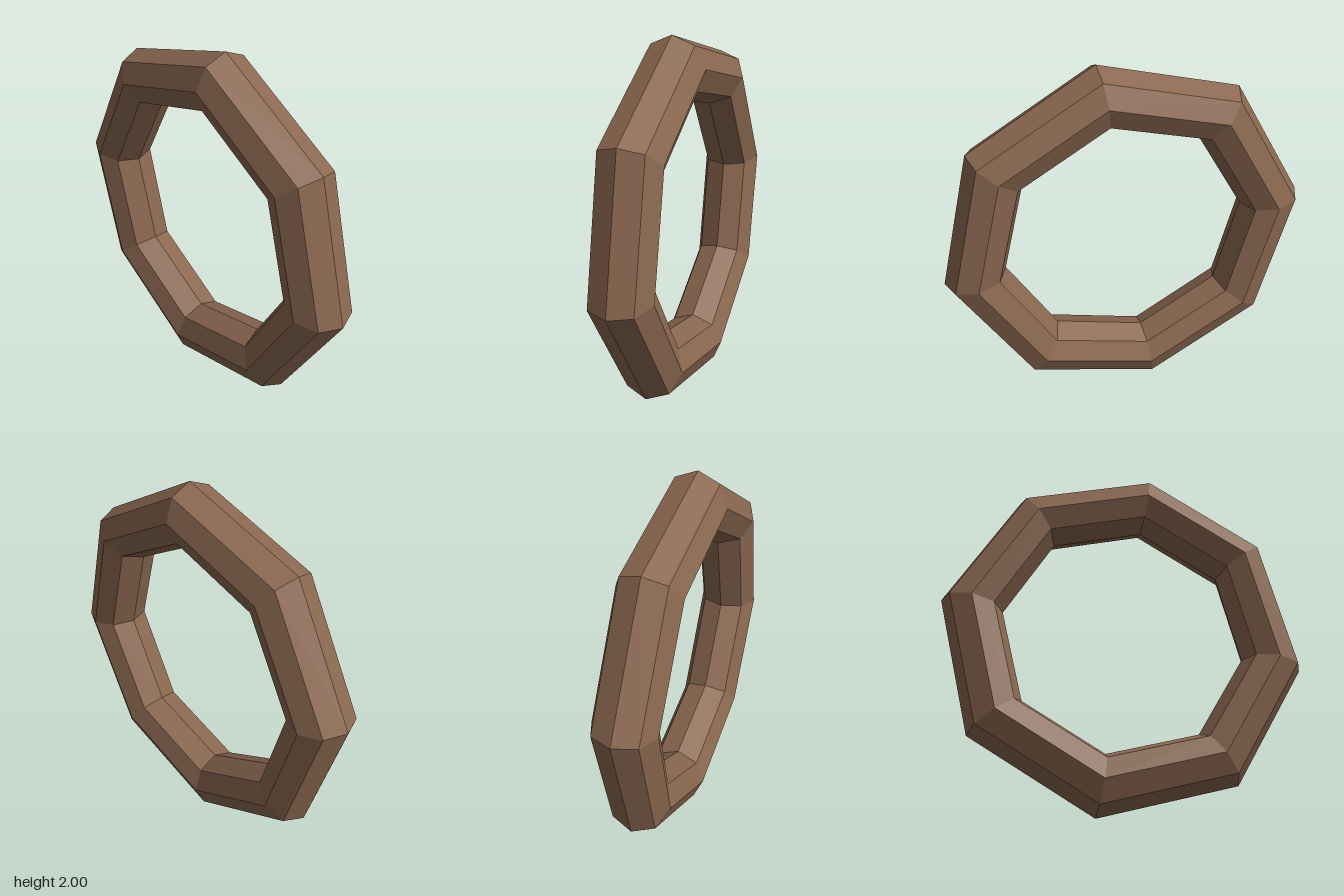
import * as THREE from 'three';

export function createModel() {
  const group = new THREE.Group();
  group.name = 'octagonalRing';

  // Low-poly ring: eight straight sections with an eight-sided tube
  const geometry = new THREE.TorusGeometry(0.842, 0.168, 8, 8);
  geometry.rotateZ(THREE.MathUtils.degToRad(-8));

  const material = new THREE.MeshStandardMaterial({ color: 0x8b6850, flatShading: true });
  const ring = new THREE.Mesh(geometry, material);
  ring.name = 'ring';

  // Slight lean, resting on one corner
  ring.rotation.set(0.017, 0.013, 0);
  ring.position.y = 1;
  group.add(ring);

  return group;
}
